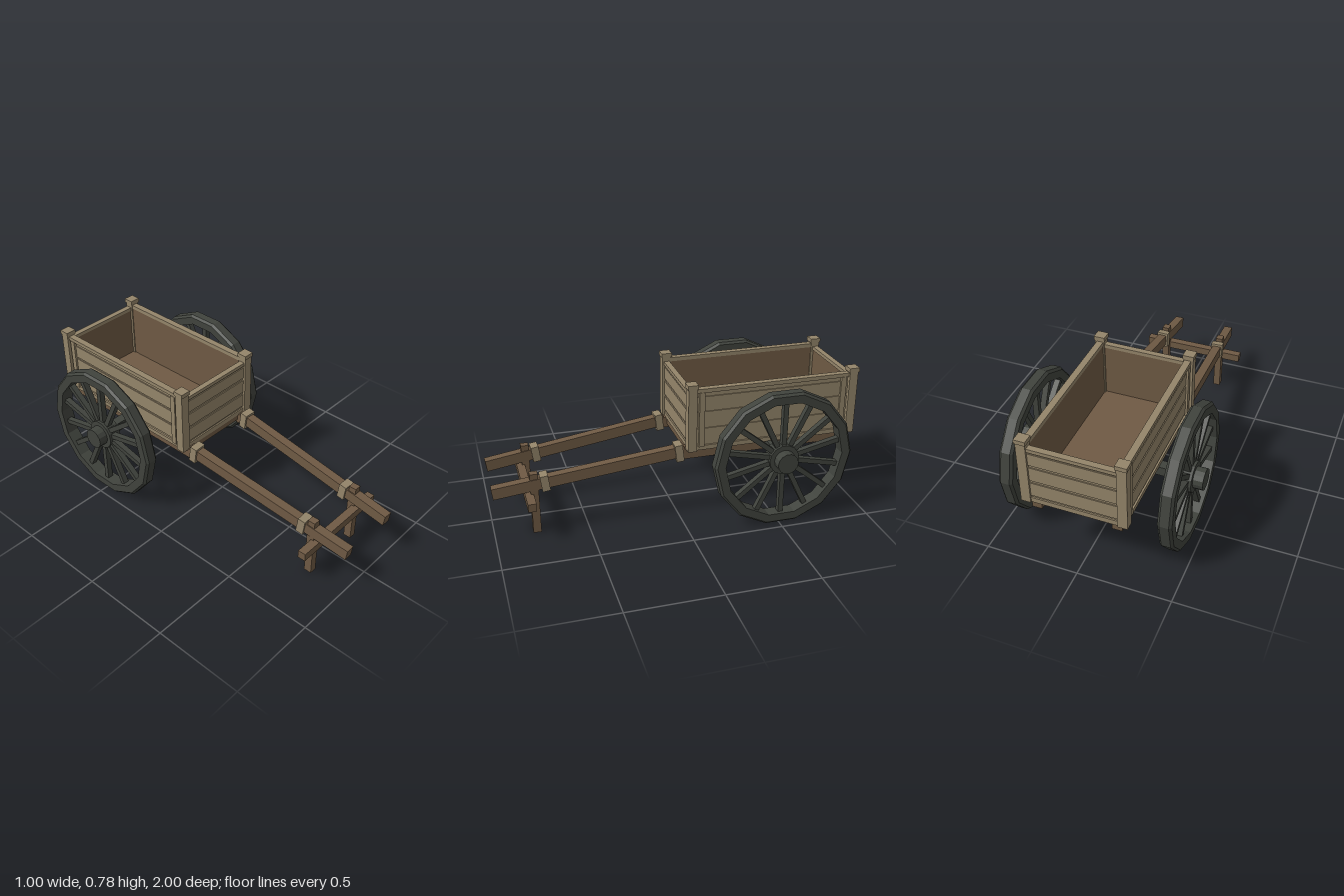
import * as THREE from 'three';

const tan = new THREE.MeshStandardMaterial({ color: 0x94856a });
tan.name = 'paleWood';
const brown = new THREE.MeshStandardMaterial({ color: 0x6f5a44 });
brown.name = 'brownWood';
const dark = new THREE.MeshStandardMaterial({ color: 0x40433d });
dark.name = 'darkWheelWood';

// Faceted normals for low-poly round parts
function facet(geometry) {
  const g = geometry.toNonIndexed();
  g.computeVertexNormals();
  return g;
}

function add(parent, name, geometry, material) {
  const mesh = new THREE.Mesh(geometry, material);
  mesh.name = name;
  parent.add(mesh);
  return mesh;
}

// Box given by its lower and upper limits on each axis
function box(parent, name, material, x0, x1, y0, y1, z0, z1) {
  const mesh = add(parent, name, new THREE.BoxGeometry(x1 - x0, y1 - y0, z1 - z0), material);
  mesh.position.set((x0 + x1) / 2, (y0 + y1) / 2, (z0 + z1) / 2);
  return mesh;
}

const SIDES = 14;
const AXLE_Y = 0.375;
const AXLE_Z = -0.512;
const BOARDS = [[0.44, 0.52], [0.535, 0.615], [0.63, 0.7]];

function makeWheel(side) {
  const wheel = new THREE.Group();
  wheel.name = side > 0 ? 'leftWheel' : 'rightWheel';
  wheel.position.set(side * 0.4175, AXLE_Y, AXLE_Z);

  // Bevelled fourteen-sided rim
  const profile = [
    [0.328, -0.037], [0.373, -0.037], [0.385, -0.024], [0.385, 0.024],
    [0.373, 0.037], [0.328, 0.037], [0.328, -0.037],
  ].map(([r, h]) => new THREE.Vector2(r, h));
  add(wheel, 'rim', facet(new THREE.LatheGeometry(profile, SIDES)), dark).rotation.z = -Math.PI / 2;

  // Spokes meet the rim at the middle of each flat
  for (let i = 0; i < SIDES; i++) {
    const pivot = new THREE.Group();
    pivot.name = 'spoke';
    pivot.rotation.x = (i / SIDES) * Math.PI * 2;
    wheel.add(pivot);
    box(pivot, 'spokeBar', dark, -0.016, 0.016, 0.05, 0.33, -0.0135, 0.0135);
  }

  // Hub and its wider flange
  const hubs = [['hub', 0.057, -0.04, 0.0825], ['hubFlange', 0.083, -0.045, 0.03]];
  for (const [name, r, a, b] of hubs) {
    const hub = add(wheel, name, facet(new THREE.CylinderGeometry(r, r, b - a, SIDES)), dark);
    hub.rotation.z = -Math.PI / 2;
    hub.position.x = side * (a + b) / 2;
  }
  return wheel;
}

function makeShaft(side) {
  const group = new THREE.Group();
  group.name = side > 0 ? 'leftShaft' : 'rightShaft';
  const back = new THREE.Vector3(side * 0.208, 0.389, -0.03);
  const front = new THREE.Vector3(side * 0.165, 0.257, 0.995);
  const length = back.distanceTo(front);
  group.position.copy(back);
  group.lookAt(front);

  box(group, 'shaftBar', brown, -0.025, 0.025, -0.031, 0.031, 0, length);
  // Pale binding collars
  box(group, 'rearCollar', tan, -0.035, 0.035, -0.05, 0.045, 0.01, 0.052);
  box(group, 'frontCollar', tan, -0.034, 0.034, -0.044, 0.044, 0.735, 0.778);
  return group;
}

function makeBed() {
  const bed = new THREE.Group();
  bed.name = 'bed';

  // Floor and frame beneath it
  box(bed, 'floor', brown, -0.232, 0.232, 0.4, 0.42, -0.965, -0.065);
  for (const z of [-0.07, -0.29, -0.74, -0.93]) {
    box(bed, 'crossBeam', brown, -0.19, 0.19, 0.365, 0.405, z - 0.022, z + 0.022);
  }

  for (const s of [-1, 1]) {
    const span = (name, m, a, b, ...rest) =>
      box(bed, name, m, Math.min(s * a, s * b), Math.max(s * a, s * b), ...rest);

    span('sideBeam', brown, 0.183, 0.235, 0.345, 0.405, -0.96, -0.02);

    // Long sides: panel, boards, battens, rails and inner lining
    span('sidePanel', tan, 0.235, 0.25, 0.4, 0.74, -0.96, -0.06);
    span('sideLining', brown, 0.23, 0.236, 0.415, 0.735, -0.95, -0.07);
    span('sideBottomRail', tan, 0.245, 0.26, 0.4, 0.425, -0.955, -0.075);
    for (const [a, b] of BOARDS) {
      span('sideBoard', tan, 0.245, 0.256, a, b + 0.003, -0.955, -0.075);
    }
    span('sideTopRail', tan, 0.228, 0.264, 0.728, 0.75, -0.955, -0.075);
    for (const z of [-0.112, -0.915]) {
      span('sideBatten', tan, 0.25, 0.267, 0.42, 0.73, z - 0.015, z + 0.015);
    }

    // End panels
    const zc = s > 0 ? -0.058 : -0.969;
    const endBox = (name, m, w, y0, y1, d0, d1) =>
      box(bed, name, m, -w, w, y0, y1, Math.min(zc + s * d0, zc + s * d1), Math.max(zc + s * d0, zc + s * d1));
    endBox('endPanel', tan, 0.235, 0.4, 0.72, -0.006, 0.006);
    endBox('endLining', brown, 0.231, 0.415, 0.715, -0.012, -0.005);
    endBox('endBottomRail', tan, 0.226, 0.4, 0.428, 0, 0.014);
    for (const [a, b] of BOARDS) endBox('endBoard', tan, 0.226, a, b, 0, 0.012);
    endBox('endTopRail', tan, 0.23, 0.712, 0.732, -0.016, 0.016);

    // Corner posts with caps
    for (const z of [-0.058, -0.967]) {
      span('cornerPost', tan, 0.224, 0.275, 0.4, 0.765, z - 0.024, z + 0.024);
      span('postCap', tan, 0.219, 0.279, 0.757, 0.78, z - 0.029, z + 0.029);
    }
  }
  return bed;
}

export function createModel() {
  const cart = new THREE.Group();
  cart.name = 'handcart';
  cart.add(makeBed());
  box(cart, 'axle', dark, -0.385, 0.385, 0.35, 0.403, AXLE_Z - 0.027, AXLE_Z + 0.027);
  for (const s of [-1, 1]) {
    cart.add(makeWheel(s), makeShaft(s));
    // Prop leg through each shaft
    box(cart, 'propLeg', brown, s * 0.175 - 0.02, s * 0.175 + 0.02, 0, 0.348, 0.755, 0.798);
  }
  box(cart, 'handleBar', brown, -0.3, 0.3, 0.188, 0.233, 0.783, 0.828);
  return cart;
}
